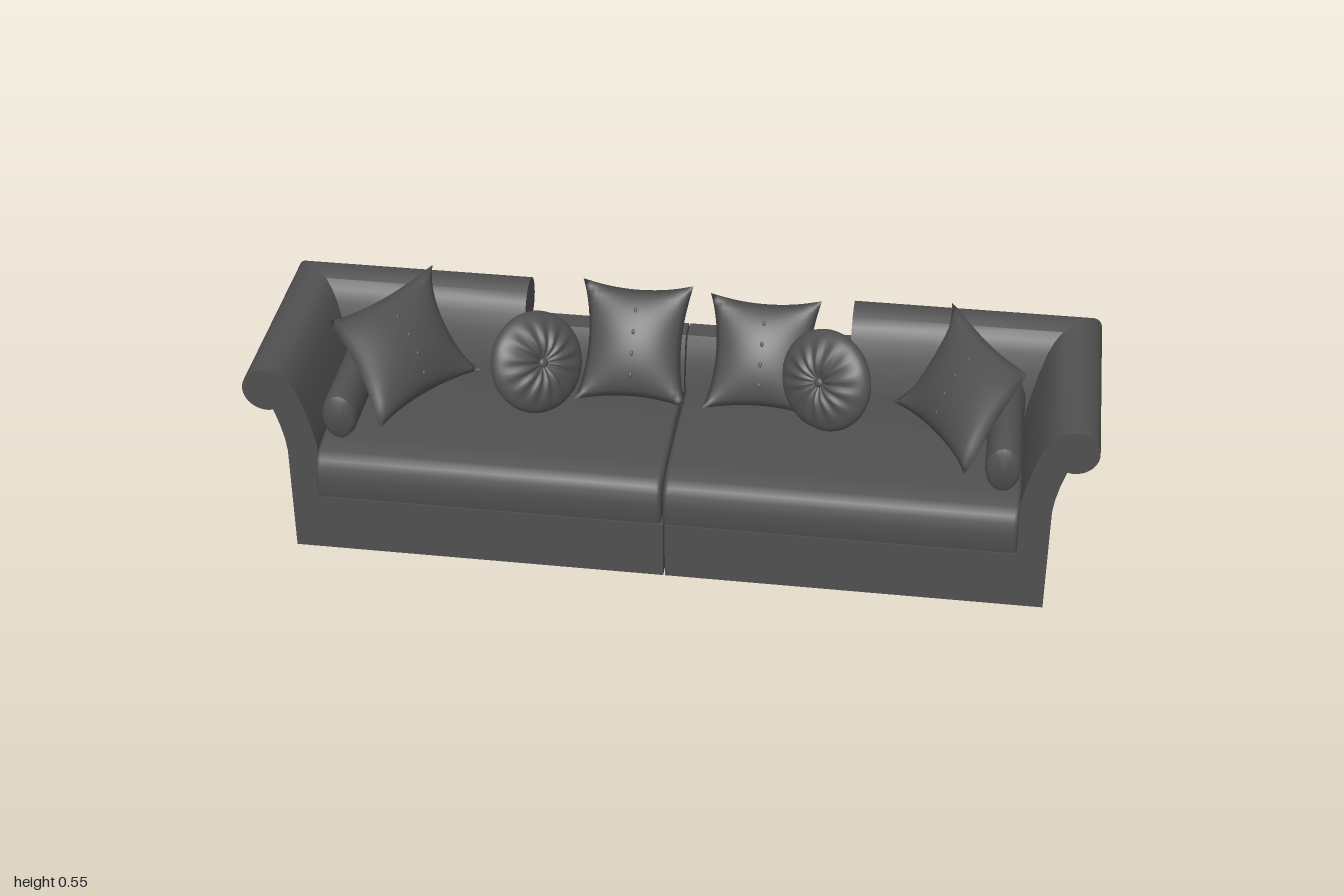
import * as THREE from 'three';
import { mergeGeometries, mergeVertices, toCreasedNormals } from 'three/addons/utils/BufferGeometryUtils.js';

const fabric = new THREE.MeshStandardMaterial({ color: 0x505050 });
fabric.name = 'charcoal fabric';

// Outer faces of the arm and back walls; profiles are [outward offset, height]
const SIDE = 0.905, FRONT = 0.245, REAR = -0.193, END = 0.4, GAP = 0.002;
const outer = [[0, 0], [0, 0.28], [0.004, 0.315], [0.013, 0.355]];
const inner = [[-0.05, 0.4], [-0.062, 0.355], [-0.072, 0.31], [-0.075, 0.27], [-0.075, 0]];

function rolledProfile() {
  const roll = [];
  for (let i = 0; i <= 18; i++) {
    const a = THREE.MathUtils.degToRad(-105 + (i / 18) * 205);
    roll.push([0.04 + 0.056 * Math.cos(a), 0.45 + 0.056 * Math.sin(a)]);
  }
  return [...outer, ...roll, [0, 0.495], [-0.018, 0.477], [-0.033, 0.45], ...inner];
}

// Sweeps the profile along the arm, round a mitred corner and along the back
function wallGeometry(profile) {
  const pos = [];
  const rows = profile.map(([d, y]) => [
    [SIDE + d, y, FRONT], [SIDE + d, y, REAR - d], [END, y, REAR - d],
  ]);
  const tri = (...pts) => pts.forEach((p) => pos.push(...p));
  rows.forEach((r, i) => {
    const n = rows[(i + 1) % rows.length];
    for (let k = 0; k < 2; k++) {
      tri(r[k], r[k + 1], n[k + 1]);
      tri(r[k], n[k + 1], n[k]);
    }
  });
  const flat = profile.map(([d, y]) => new THREE.Vector2(d, y));
  for (const [a, b, c] of THREE.ShapeUtils.triangulateShape(flat, [])) {
    tri(rows[a][0], rows[b][0], rows[c][0]);
    tri(rows[a][2], rows[c][2], rows[b][2]);
  }
  const g = new THREE.BufferGeometry();
  g.setAttribute('position', new THREE.Float32BufferAttribute(pos, 3));
  return toCreasedNormals(g, 0.6);
}

// Extrudes a [z, y] outline along x, from x0 to x1
function alongX(points, x0, x1, bevel = 0) {
  const shape = new THREE.Shape(points.map(([z, y]) => new THREE.Vector2(z, y)));
  const g = new THREE.ExtrudeGeometry(shape, {
    depth: x1 - x0 - 2 * bevel, bevelEnabled: bevel > 0, bevelSize: bevel,
    bevelThickness: bevel, bevelOffset: -bevel, bevelSegments: 3,
  });
  g.rotateY(-Math.PI / 2).translate(x1 - bevel, 0, 0);
  return toCreasedNormals(g, 0.6);
}

// Mirrors a non-indexed geometry in x and restores the corner order
function mirrorX(source) {
  const g = source.clone().scale(-1, 1, 1);
  for (const name of ['position', 'normal']) {
    const a = g.attributes[name];
    for (let i = 0; i < a.count; i += 3) {
      const p = new THREE.Vector3().fromBufferAttribute(a, i + 1);
      const q = new THREE.Vector3().fromBufferAttribute(a, i + 2);
      a.setXYZ(i + 1, q.x, q.y, q.z);
      a.setXYZ(i + 2, p.x, p.y, p.z);
    }
  }
  return g;
}

// Welds the vertices for smooth shading
function smooth(g) {
  g.deleteAttribute('uv');
  g.deleteAttribute('normal');
  const m = mergeVertices(g, 1e-5);
  m.computeVertexNormals();
  return m;
}

const puff = (u, v) => Math.pow(Math.max(0, (1 - u * u) * (1 - v * v)), 0.6);

// Square pillow: plump middle, drawn-in edges and pointed corners
function squarePillow(w, h, t) {
  const halves = [1, -1].map((s) => {
    const g = new THREE.PlaneGeometry(2, 2, 20, 20);
    if (s < 0) g.rotateY(Math.PI);
    const p = g.attributes.position;
    for (let i = 0; i < p.count; i++) {
      const u = p.getX(i), v = p.getY(i);
      const tip = 0.02 * Math.pow(u * v, 4);
      p.setXYZ(i,
        (w / 2) * u * (1 - 0.16 * (1 - v * v)),
        (h / 2) * v * (1 - 0.12 * (1 - u * u)),
        s * (t / 2) * puff(u, v) + tip);
    }
    return g;
  });
  return smooth(mergeGeometries(halves));
}

// Round pillow: radial pleats gathered into a dimple on each face
function roundPillow(r, t) {
  const g = new THREE.SphereGeometry(1, 72, 28);
  const p = g.attributes.position;
  for (let i = 0; i < p.count; i++) {
    const x = p.getX(i), y = p.getY(i), z = p.getZ(i);
    const rho = Math.hypot(x, z);
    const pleat = 1 + 0.09 * Math.cos(14 * Math.atan2(z, x)) * Math.sin(Math.PI * Math.min(1, rho));
    const dimple = 1 - 0.4 * Math.exp(-Math.pow(rho / 0.22, 2));
    p.setXYZ(i, x * r, y * t * pleat * dimple, z * r);
  }
  return smooth(g.rotateX(Math.PI / 2));
}

export function createModel() {
  const model = new THREE.Group();
  model.name = 'sofa';
  const add = (name, geometry, parent = model) => {
    const m = new THREE.Mesh(geometry, fabric);
    m.name = name;
    parent.add(m);
    return m;
  };
  const addPair = (name, geometry) => {
    add('left' + name, geometry);
    add('right' + name, mirrorX(geometry));
  };

  // Frame: rolled arms and back corners, low centre back, base and deck
  addPair('RolledArmAndBack', wallGeometry(rolledProfile()));
  const low = [...outer, [0.027, 0.4], [0.027, 0.42], [0.018, 0.43], [-0.036, 0.43], ...inner];
  addPair('LowBack', alongX(low.map(([d, y]) => [REAR - d, y]), GAP, END));
  addPair('Base', alongX([[-0.12, 0], [FRONT, 0], [FRONT, 0.15], [-0.12, 0.15]], GAP, 0.832));
  addPair('Deck', alongX([[-0.12, 0.148], [0.238, 0.148], [0.238, 0.182], [-0.12, 0.182]], GAP, 0.831));

  // Seat cushions with a crowned top and bulging front
  const seat = [
    [-0.125, 0.177], [0.272, 0.175], [0.281, 0.18], [0.285, 0.2], [0.286, 0.235], [0.282, 0.265],
    [0.272, 0.28], [0.25, 0.292], [0.2, 0.299], [0.1, 0.303], [0, 0.303], [-0.125, 0.297],
  ];
  addPair('SeatCushion', alongX(seat, GAP, 0.832, 0.012));

  // Bolsters beside the arms
  const bolsterProfile = [[0, -0.165], [0.045, -0.162], [0.056, -0.155], [0.06, -0.14],
    [0.06, 0.14], [0.056, 0.155], [0.045, 0.162], [0, 0.165]];
  const bolster = new THREE.LatheGeometry(bolsterProfile.map(([x, y]) => new THREE.Vector2(x, y)), 32);
  bolster.rotateX(Math.PI / 2).scale(0.7, 1.05, 1).translate(0.786, 0.357, 0.045);
  addPair('Bolster', toCreasedNormals(bolster, 0.7));

  // Square pillows with a row of buttons: name, size, position, yaw, lean
  const squares = [
    ['leftArmPillow', 0.34, 0.285, 0.68, 0.417, -0.03, -0.99, 0.56],
    ['rightArmPillow', 0.34, 0.285, -0.68, 0.417, -0.03, 0.99, 0.56],
    ['leftCentrePillow', 0.27, 0.28, 0.19, 0.41, -0.125, 0, 0.6],
    ['rightCentrePillow', 0.27, 0.295, -0.123, 0.417, -0.125, 0, 0.6],
  ];
  const button = new THREE.SphereGeometry(1, 12, 8).scale(0.004, 0.007, 0.003);
  for (const [name, w, h, x, y, z, yaw, lean] of squares) {
    const pillow = new THREE.Group();
    pillow.name = name;
    add('pillowBody', squarePillow(w, h, 0.1), pillow);
    for (const v of [-0.6, -0.2, 0.2, 0.6]) {
      add('button', button, pillow).position.set(0, (h / 2) * v * 0.88, 0.05 * puff(0, v));
    }
    pillow.position.set(x, y, z);
    pillow.rotation.set(-lean, yaw, 0, 'YXZ');
    model.add(pillow);
  }

  // Round pleated pillows with a centre button
  const rounds = [
    ['rightRoundPillow', -0.347, 0.41, -0.02, 0.785, 0.43],
    ['leftRoundPillow', 0.353, 0.413, -0.032, -0.55, 0.3],
  ];
  for (const [name, x, y, z, yaw, lean] of rounds) {
    const pillow = new THREE.Group();
    pillow.name = name;
    add('pillowBody', roundPillow(0.124, 0.05), pillow);
    const knob = add('button', new THREE.SphereGeometry(0.012, 16, 10).scale(1, 1, 0.6), pillow);
    knob.position.z = 0.032;
    pillow.position.set(x, y, z);
    pillow.rotation.set(-lean, yaw, 0, 'YXZ');
    model.add(pillow);
  }
  return model;
}
